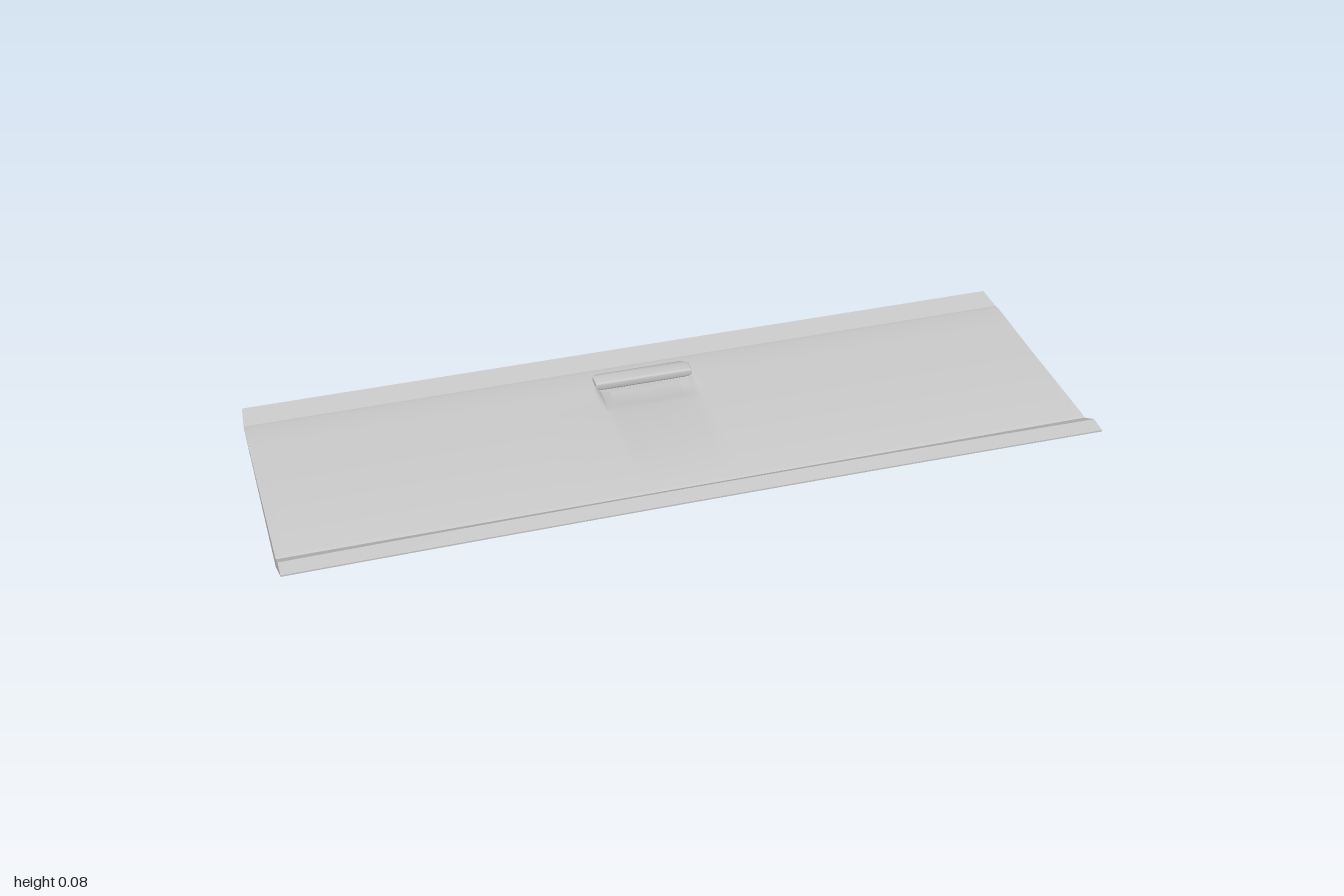
import * as THREE from 'three';
import { toCreasedNormals } from 'three/addons/utils/BufferGeometryUtils.js';

// Side profile as [z, y, crown]: crown lifts the point toward the middle of the panel
const PROFILE = [
  [0.235, 0.002, 0.007], [-0.355, 0.02, 0], [-0.355, 0.054, 0], [-0.285, 0.047, 0], [-0.268, 0.05, 0],
  [-0.206, 0.049, 0], [-0.2, 0.049, 0], [-0.18, 0.049, 0], [-0.15, 0.048, 0], [-0.12, 0.048, 0],
  [-0.09, 0.047, 0], [0.25, 0.047, 0], [0.262, 0.044, 0], [0.31, 0.071, 0.006],
  [0.355, 0.068, 0.004], [0.355, 0.064, 0.004],
];
const HALF_STATIONS = [0.09, 0.115, 0.124, 0.132, 0.3, 0.5, 0.75, 0.97, 1];
const STATIONS = [...HALF_STATIONS.map((x) => -x).reverse(), 0, ...HALF_STATIONS];

// Depth of the finger scoop: deepest under the handle, fading toward the front
function scoop(x, z) {
  const across = THREE.MathUtils.smoothstep(0.132 - Math.abs(x), 0, 0.03);
  const along = z < -0.203 || z > -0.09 ? 0 : Math.sin(((-0.09 - z) / 0.11) * Math.PI / 2);
  return 0.018 * across * along;
}

function panelGeometry() {
  const n = PROFILE.length;
  const pos = [];
  const index = [];
  for (const x of STATIONS) {
    PROFILE.forEach(([z, y, crown], j) => {
      const top = j > 3 && j < 12;
      const taper = z < -0.3 ? 0.994 : 1;
      pos.push(x * taper, y + crown * (1 - x * x) - (top ? scoop(x, z) : 0), z);
    });
  }
  for (let i = 0; i < STATIONS.length - 1; i++) {
    for (let j = 0; j < n; j++) {
      const a = i * n + j;
      const b = i * n + ((j + 1) % n);
      index.push(a, b, a + n, b, b + n, a + n);
    }
  }
  // Flat ends
  const outline = PROFILE.map(([z, y]) => new THREE.Vector2(-z, y));
  const last = (STATIONS.length - 1) * n;
  for (const [a, b, c] of THREE.ShapeUtils.triangulateShape(outline, [])) {
    index.push(last + a, last + b, last + c, a, c, b);
  }
  const geometry = new THREE.BufferGeometry();
  geometry.setAttribute('position', new THREE.Float32BufferAttribute(pos, 3));
  geometry.setIndex(index);
  return toCreasedNormals(geometry, 0.25);
}

// Handle outline seen from above, with the two rear corners rounded
function handleShape(w, front, back, r) {
  const s = new THREE.Shape();
  s.moveTo(-w, front);
  s.lineTo(w, front);
  s.lineTo(w, back - r);
  s.quadraticCurveTo(w, back, w - r, back);
  s.lineTo(-w + r, back);
  s.quadraticCurveTo(-w, back, -w, back - r);
  s.closePath();
  return s;
}

export function createModel() {
  const model = new THREE.Group();
  model.name = 'tailgate';
  const paint = new THREE.MeshStandardMaterial({ color: 0xcacaca });
  paint.name = 'light grey paint';

  const panel = new THREE.Mesh(panelGeometry(), paint);
  panel.name = 'tailgatePanel';
  model.add(panel);

  // Raised pull handle, bevelled along its upper edge
  const handleGeometry = new THREE.ExtrudeGeometry(handleShape(0.122, 0.204, 0.25, 0.02), {
    depth: 0.014, bevelEnabled: true, bevelThickness: 0.004, bevelSize: 0.004, bevelSegments: 3, curveSegments: 8,
  });
  handleGeometry.rotateX(-Math.PI / 2);
  const handle = new THREE.Mesh(toCreasedNormals(handleGeometry, 0.6), paint);
  handle.name = 'pullHandle';
  handle.position.y = 0.0435;
  // Slope the rear of the handle down into the panel
  const p = handle.geometry.attributes.position;
  for (let i = 0; i < p.count; i++) {
    const back = THREE.MathUtils.clamp((-0.24 - p.getZ(i)) / 0.014, 0, 1);
    if (p.getY(i) > 0.01) p.setY(i, p.getY(i) - 0.006 * back);
  }
  handle.geometry = toCreasedNormals(handle.geometry, 0.6);
  model.add(handle);

  return model;
}
